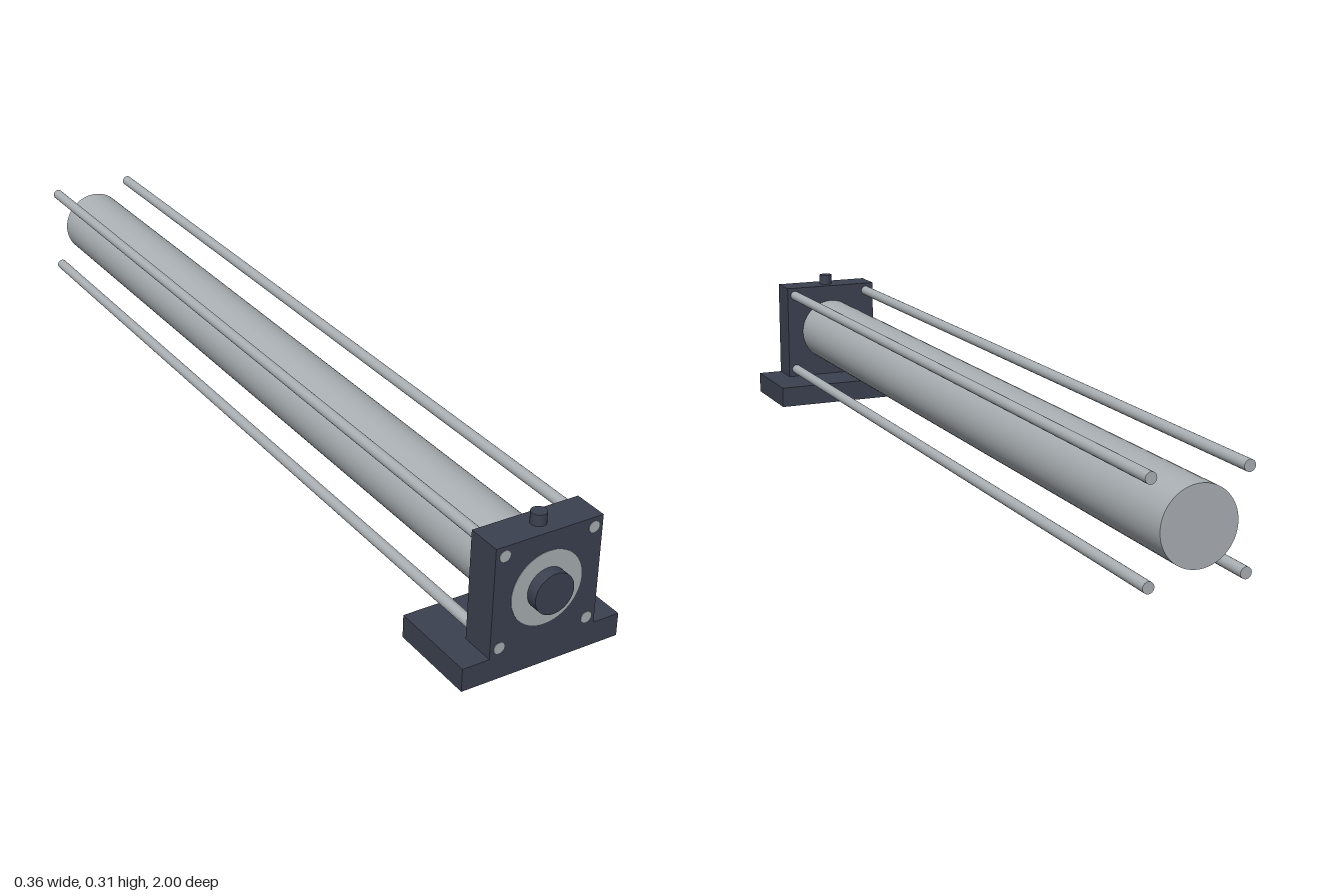
import * as THREE from 'three';

export function createModel() {
  const model = new THREE.Group();
  model.name = 'cylinderAssembly';

  const darkMetal = new THREE.MeshStandardMaterial({ color: 0x3c4150 });
  darkMetal.name = 'dark slate metal';
  const steel = new THREE.MeshStandardMaterial({ color: 0xaab0b4 });
  steel.name = 'light grey steel';

  const axisY = 0.168; // height of the barrel axis

  function add(name, geometry, material, x, y, z) {
    const mesh = new THREE.Mesh(geometry, material);
    mesh.name = name;
    mesh.position.set(x, y, z);
    model.add(mesh);
    return mesh;
  }

  // Cylinder lying along z, from zBack to zFront
  function addBar(name, radius, zBack, zFront, x, y, material, sides) {
    const geometry = new THREE.CylinderGeometry(radius, radius, zFront - zBack, sides);
    geometry.rotateX(Math.PI / 2);
    return add(name, geometry, material, x, y, (zBack + zFront) / 2);
  }

  // Mounting foot and upright end block
  add('mountingFoot', new THREE.BoxGeometry(0.356, 0.05, 0.195), darkMetal, 0, 0.025, 0.8775);
  add('endBlock', new THREE.BoxGeometry(0.238, 0.237, 0.075), darkMetal, 0, 0.1685, 0.9375);

  // Main barrel, just showing as a ring on the block's face
  addBar('barrel', 0.079, -1, 0.976, 0, axisY, steel, 64);

  // Front boss and top port
  addBar('frontBoss', 0.0435, 0.96, 1, 0, axisY, darkMetal, 48);
  add('topPort', new THREE.CylinderGeometry(0.016, 0.016, 0.034, 32), darkMetal, 0, 0.294, 0.9375);

  // Four tie rods through the block corners
  for (const sx of [-1, 1]) {
    for (const sy of [-1, 1]) {
      const name = `tieRod${sy > 0 ? 'Upper' : 'Lower'}${sx > 0 ? 'Left' : 'Right'}`;
      addBar(name, 0.0118, -1, 0.976, sx * 0.099, axisY + sy * 0.099, steel, 24);
    }
  }

  return model;
}
